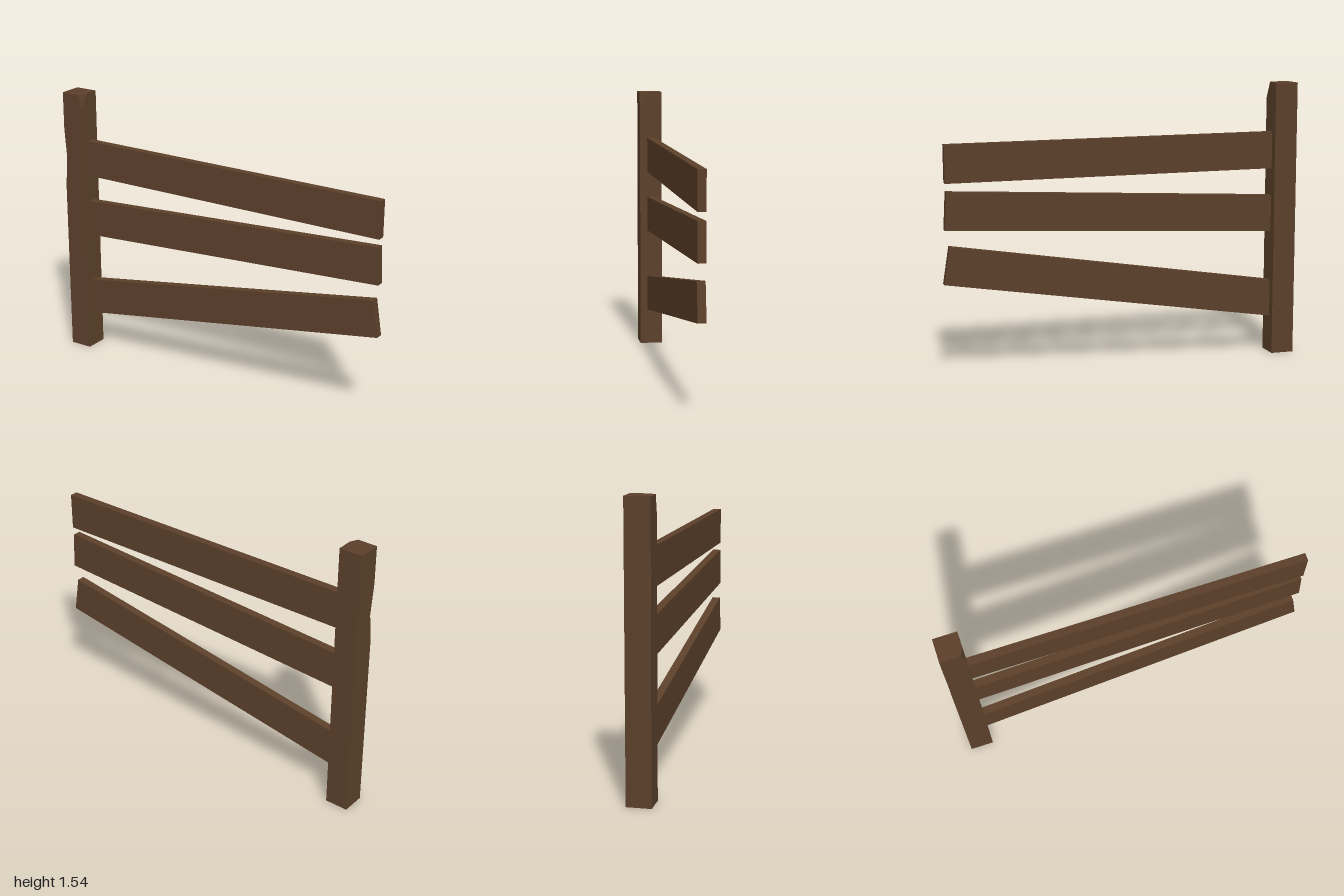
import * as THREE from 'three';

const LEFT = -1, RIGHT = -0.87, HALF = 0.066;

// One cross-section of the post; nick wears the front outer edge, chip the front inner edge.
function postRing(y, nick, chip) {
  return [
    [LEFT, y, -HALF],
    [LEFT, y, HALF - 0.02 * nick],
    [LEFT + 0.013 * nick, y, HALF],
    [RIGHT - 0.02 * chip, y, HALF],
    [RIGHT, y, HALF - 0.046 * chip],
    [RIGHT, y, -HALF],
  ];
}

function postGeometry() {
  const rings = [
    postRing(0, 0, 0),
    postRing(0.99, 0, 0),
    postRing(1.16, 1, 0),
    postRing(1.33, 0, 0),
    postRing(1.45, 0, 0),
    postRing(1.54, 0, 1),
  ];
  const positions = [];
  const same = (p, q) => p.every((v, i) => v === q[i]);
  const tri = (a, b, c) => {
    if (!same(a, b) && !same(b, c) && !same(c, a)) positions.push(...a, ...b, ...c);
  };
  // Sides
  for (let r = 0; r < rings.length - 1; r++) {
    const low = rings[r], high = rings[r + 1];
    for (let i = 0; i < 6; i++) {
      const j = (i + 1) % 6;
      tri(low[i], low[j], high[j]);
      tri(low[i], high[j], high[i]);
    }
  }
  // End caps
  const bottom = rings[0], top = rings[rings.length - 1];
  for (let i = 1; i < 5; i++) {
    tri(bottom[0], bottom[i + 1], bottom[i]);
    tri(top[0], top[i], top[i + 1]);
  }
  const geometry = new THREE.BufferGeometry();
  geometry.setAttribute('position', new THREE.Float32BufferAttribute(positions, 3));
  geometry.computeVertexNormals();
  return geometry;
}

export function createModel() {
  const group = new THREE.Group();
  group.name = 'brokenFence';
  const wood = new THREE.MeshStandardMaterial({ color: 0x5c402a, flatShading: true });

  const post = new THREE.Mesh(postGeometry(), wood);
  post.name = 'post';
  group.add(post);

  // Sagging rails: centre height at the post, then centre of the free end
  const rails = [
    ['topRail', 1.162, 0.985, 1.148],
    ['middleRail', 0.803, 0.984, 0.898],
    ['bottomRail', 0.314, 0.981, 0.605],
  ];
  for (const [name, startY, endX, endY] of rails) {
    const slope = Math.atan2(endY - startY, endX - RIGHT);
    const length = Math.hypot(endY - startY, endX - RIGHT) + 0.06; // tail set into the post
    const geometry = new THREE.BoxGeometry(length, 0.206, 0.044);
    geometry.translate(-length / 2, 0, 0);
    const rail = new THREE.Mesh(geometry, wood);
    rail.name = name;
    rail.position.set(endX, endY, 0);
    rail.rotation.z = slope;
    group.add(rail);
  }
  return group;
}
